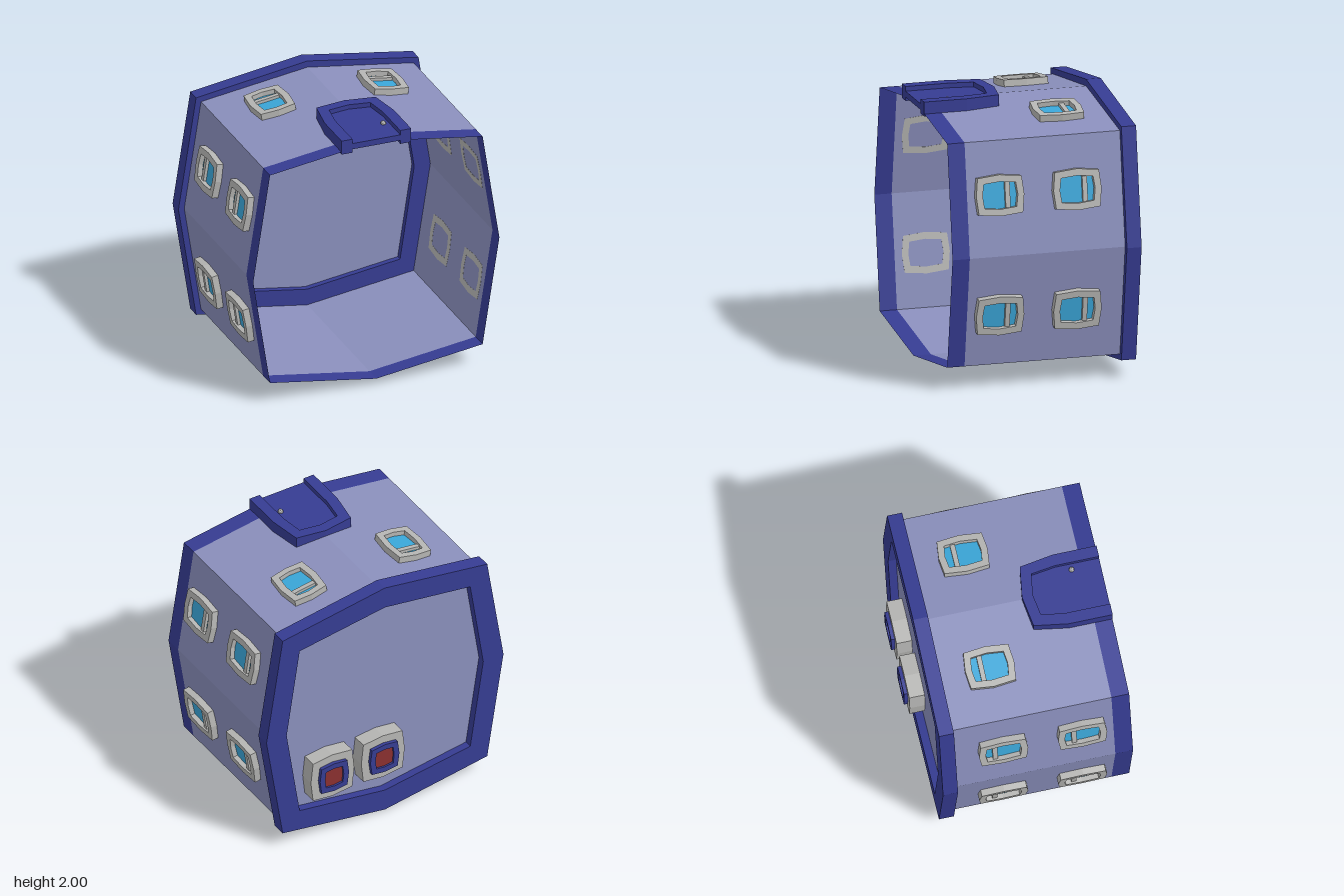
import * as THREE from 'three';

const mat = (name, color, side = THREE.FrontSide) => {
  const m = new THREE.MeshStandardMaterial({ color, side, flatShading: true });
  m.name = name;
  return m;
};

// Eight-sided outline with bulging sides: (w,h) at the mid points, (cw,ch) at the corners
const octPoints = (w, h, cw, ch) =>
  [[w, 0], [cw, ch], [0, h], [-cw, ch], [-w, 0], [-cw, -ch], [0, -h], [cw, -ch]]
    .map(([x, y]) => new THREE.Vector2(x, y));

// Extruded outline with an optional hole, from z0 to z1
function slab(outer, hole, z0, z1) {
  const s = new THREE.Shape(outer);
  if (hole) s.holes.push(new THREE.Path(hole));
  return new THREE.ExtrudeGeometry(s, { depth: z1 - z0, bevelEnabled: false }).translate(0, 0, z0);
}

// Open single-skin tube along z
function tubeWall(points, z0, z1) {
  const pos = [];
  points.forEach((a, i) => {
    const b = points[(i + 1) % points.length];
    pos.push(a.x, a.y, z0, b.x, b.y, z0, b.x, b.y, z1);
    pos.push(a.x, a.y, z0, b.x, b.y, z1, a.x, a.y, z1);
  });
  const g = new THREE.BufferGeometry();
  g.setAttribute('position', new THREE.Float32BufferAttribute(pos, 3));
  g.computeVertexNormals();
  return g;
}

export function createModel() {
  const wallMat = mat('lavender wall', 0x8a8fbc, THREE.DoubleSide);
  const trim = mat('navy trim', 0x363c92, THREE.DoubleSide);
  const grey = mat('light grey', 0xb5b5b3);
  const glass = mat('blue glass', 0x3aa6d8);
  const red = mat('dark red', 0x8a3030);

  const model = new THREE.Group();
  model.name = 'capsuleHouse';
  const add = (parent, name, geo, material) => {
    const m = new THREE.Mesh(geo, material);
    m.name = name;
    parent.add(m);
    return m;
  };

  // Shell, centred on y = 1
  const shell = new THREE.Group();
  shell.name = 'shell';
  shell.position.y = 1;
  model.add(shell);
  const skin = octPoints(0.955, 0.95, 0.825, 0.83);
  const opening = octPoints(0.83, 0.825, 0.72, 0.72);
  add(shell, 'outerWall', tubeWall(skin, -0.555, 0.61), wallMat);
  add(shell, 'frontBand', tubeWall(skin, 0.61, 0.74), trim);
  add(shell, 'backFrame', slab(octPoints(1, 1, 0.863, 0.867), opening, -0.665, -0.555), trim);
  add(shell, 'backPanel', slab(opening, null, -0.605, -0.6), wallMat);

  // Windows: local x runs along -z of the model, local z points out of the wall
  const frameGeo = slab(octPoints(0.18, 0.15, 0.165, 0.133), octPoints(0.132, 0.1, 0.12, 0.088), 0, 0.05);
  const glassGeo = slab(octPoints(0.135, 0.103, 0.123, 0.091), null, 0.006, 0.014);
  const barGeo = new THREE.BoxGeometry(0.036, 0.184, 0.025).translate(0.06, 0, 0.024);
  function addWindow(x, y, z, nx, ny) {
    const w = new THREE.Group();
    w.name = 'window';
    add(w, 'windowFrame', frameGeo, grey);
    add(w, 'windowGlass', glassGeo, glass);
    add(w, 'windowBar', barGeo, grey);
    const n = new THREE.Vector3(nx, ny, 0).normalize();
    const u = new THREE.Vector3(0, 0, -1);
    const v = new THREE.Vector3().crossVectors(n, u);
    w.setRotationFromMatrix(new THREE.Matrix4().makeBasis(u, v, n));
    w.position.set(x, y, z);
    model.add(w);
  }
  for (const side of [-1, 1]) {
    for (const up of [-1, 1])
      for (const z of [0.375, -0.205])
        addWindow(side * 0.885, 1 + up * 0.44, z, side * 0.83, up * 0.13);
    addWindow(side * 0.435, 1.887, -0.2, side * 0.12, 0.825);
  }

  // Roof hatch: arched frame, sunken door and knob (outline drawn in x and -z)
  const hatch = new THREE.Group();
  hatch.name = 'roofHatch';
  model.add(hatch);
  const half = (pts) => [...pts, ...pts.filter(p => p[0] > 0).reverse().map(([x, z]) => [-x, z])]
    .map(([x, z]) => new THREE.Vector2(x, -z));
  const outer = half([[0.27, 0.742], [0.27, 0.42], [0.23, 0.17], [0, 0.135]]);
  const inner = half([[0.185, 0.742], [0.185, 0.42], [0.16, 0.24], [0, 0.215]]);
  const flat = (g) => g.rotateX(-Math.PI / 2);
  add(hatch, 'hatchFrame', flat(slab([...outer, ...inner.slice().reverse()], null, 1.893, 2)), trim);
  add(hatch, 'hatchDoor', flat(slab(inner, null, 1.92, 1.965)), trim);
  add(hatch, 'doorKnob', new THREE.IcosahedronGeometry(0.02, 1).translate(0.14, 1.972, 0.53), grey);

  // Thrusters on the back panel
  const ring = octPoints(0.122, 0.122, 0.108, 0.108);
  const core = octPoints(0.078, 0.078, 0.07, 0.07);
  for (const x of [0.05, 0.475]) {
    const t = new THREE.Group();
    t.name = 'thruster';
    t.position.set(x, 0.535, 0);
    add(t, 'thrusterHousing', slab(octPoints(0.183, 0.185, 0.165, 0.165), ring, -0.718, -0.603), grey);
    add(t, 'thrusterRing', slab(ring, core, -0.745, -0.605), trim);
    add(t, 'thrusterCore', slab(core, null, -0.73, -0.61), red);
    model.add(t);
  }
  return model;
}
